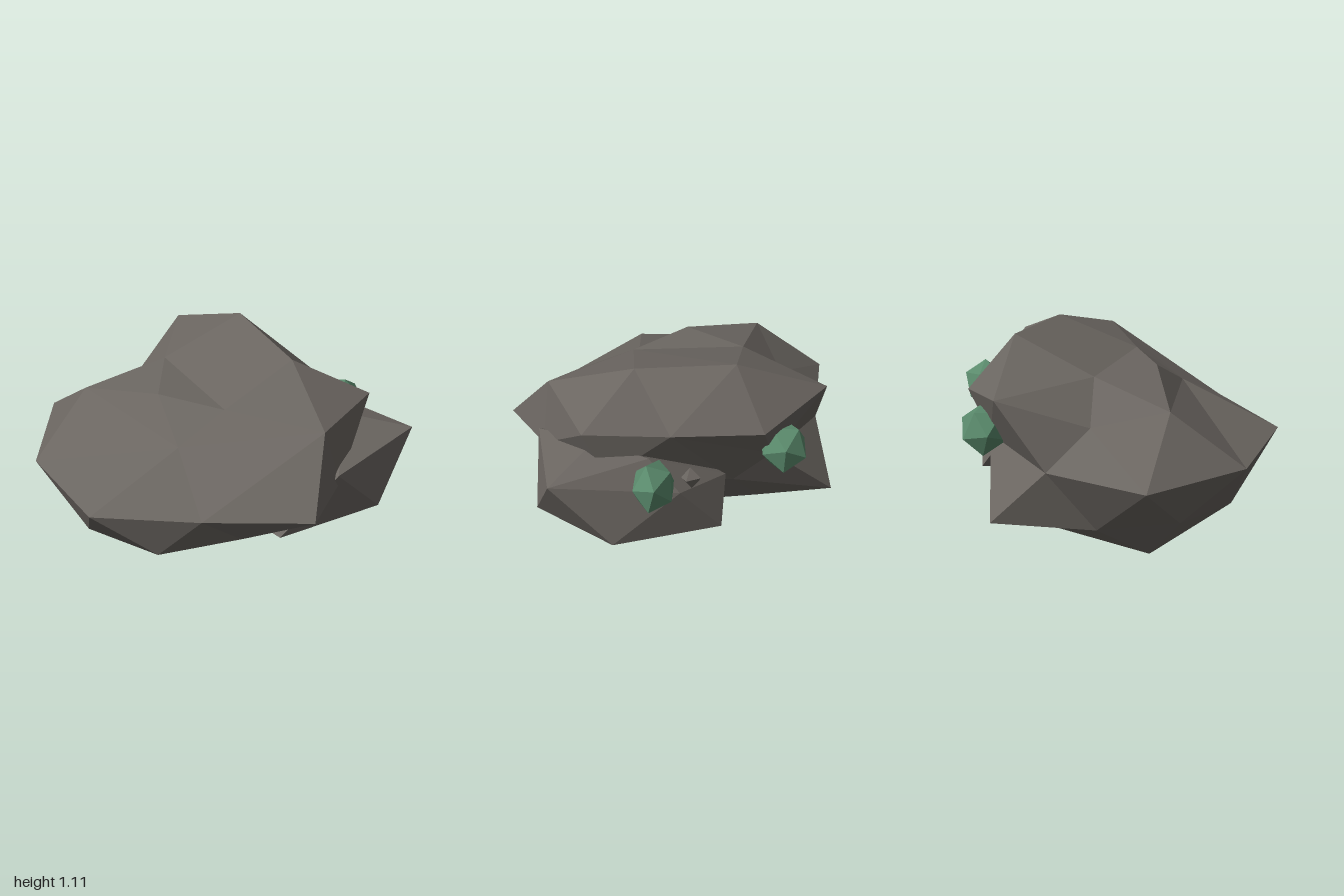
import * as THREE from 'three';
import { ConvexGeometry } from 'three/addons/geometries/ConvexGeometry.js';

const stone = new THREE.MeshStandardMaterial({ name: 'stone', color: 0x6b6661, flatShading: true });
const moss = new THREE.MeshStandardMaterial({ name: 'moss', color: 0x5a8a6c, flatShading: true });

// Facets a boulder: corners are joined as seen from its centre, so hollows are kept
function boulder(name, center, stretchY, corners) {
  const c = new THREE.Vector3(...center);
  const points = corners.map((p) => new THREE.Vector3(...p));
  const dirs = points.map((p) => {
    const d = p.clone().sub(c);
    d.y *= stretchY;
    return d.normalize();
  });
  const geo = new ConvexGeometry(dirs);
  const pos = geo.attributes.position;
  const v = new THREE.Vector3();
  for (let i = 0; i < pos.count; i++) {
    v.fromBufferAttribute(pos, i);
    let best = 0;
    dirs.forEach((d, k) => {
      if (d.distanceToSquared(v) < dirs[best].distanceToSquared(v)) best = k;
    });
    pos.setXYZ(i, ...points[best].toArray());
  }
  geo.computeVertexNormals();
  const mesh = new THREE.Mesh(geo, stone);
  mesh.name = name;
  return mesh;
}

// Small faceted lump
function lump(name, geo, material, position, scale, rotation) {
  const mesh = new THREE.Mesh(geo, material);
  mesh.name = name;
  mesh.position.set(...position);
  mesh.scale.set(...scale);
  mesh.rotation.set(...rotation);
  return mesh;
}

export function createModel() {
  const group = new THREE.Group();
  group.name = 'mossyRocks';

  group.add(boulder('mainBoulder', [-0.04, 0.55, 0], 1.6, [
    // widest ring
    [-1, 0.58, 0.3], [-0.65, 0.575, 0.775], [-0.09, 0.575, 0.795], [0.47, 0.575, 0.775],
    [0.6, 0.575, 0.42], [0.66, 0.6, -0.08], [-0.02, 0.61, -0.62], [-0.52, 0.57, -0.57], [-1, 0.58, -0.29],
    // crown
    [-0.76, 0.86, 0], [-0.35, 0.945, 0.19], [-0.23, 0.78, 0.44], [0, 0.92, 0.29],
    [0.51, 0.9, 0.45], [0.755, 0.87, 0], [0.34, 1.06, 0], [0.05, 1.105, -0.43],
    [0.45, 0.83, -0.32], [0.13, 0.82, -0.67], [-0.32, 0.92, -0.745],
    [-0.35, 0.95, -0.19], [-0.53, 0.76, -0.32],
    // underside
    [-0.87, 0.3, 0], [-0.72, 0.24, 0.43], [-0.32, 0.315, 0.73], [0.1, 0.33, 0.6],
    [-0.2, 0.145, 0.37], [-0.6, 0, 0], [0, 0.15, 0], [0.25, 0.165, 0], [-0.25, 0.11, -0.39],
    [-0.61, 0.23, -0.33], [-0.35, 0.28, -0.8], [0.04, 0.39, -0.42],
  ]));

  group.add(boulder('sideBoulder', [0.5, 0.45, 0], 1.4, [
    [0.995, 0.675, 0.02], [0.63, 0.76, 0.03], [0.59, 0.645, 0.46], [0.54, 0.72, -0.25],
    [0.5, 0.56, -0.42], [0.15, 0.5, -0.45], [0.82, 0.34, 0.28], [0.82, 0.34, -0.24],
    [0.47, 0.09, 0.02], [0.3, 0.3, 0.54], [0.21, 0.3, 0.45], [0.29, 0.28, -0.53],
    [0.15, 0.22, -0.1], [0.1, 0.5, 0.1],
  ]));

  // Chips of stone
  const chip = new THREE.OctahedronGeometry(1);
  group.add(lump('backChip', chip, stone, [0.41, 0.605, -0.42], [0.065, 0.055, 0.055], [0.2, 0.3, 0.2]));
  group.add(lump('lowerChip', chip, stone, [0.3, 0.18, -0.01], [0.12, 0.11, 0.11], [0, 0.4, 0]));

  // Moss clumps
  const clump = new THREE.IcosahedronGeometry(1);
  group.add(lump('sideMoss', clump, moss, [0.605, 0.625, -0.335], [0.15, 0.14, 0.11], [0.2, 0.3, 0.3]));
  group.add(lump('backMoss', clump, moss, [-0.05, 0.66, -0.67], [0.135, 0.145, 0.13], [0.4, 0.2, 0.1]));

  return group;
}
